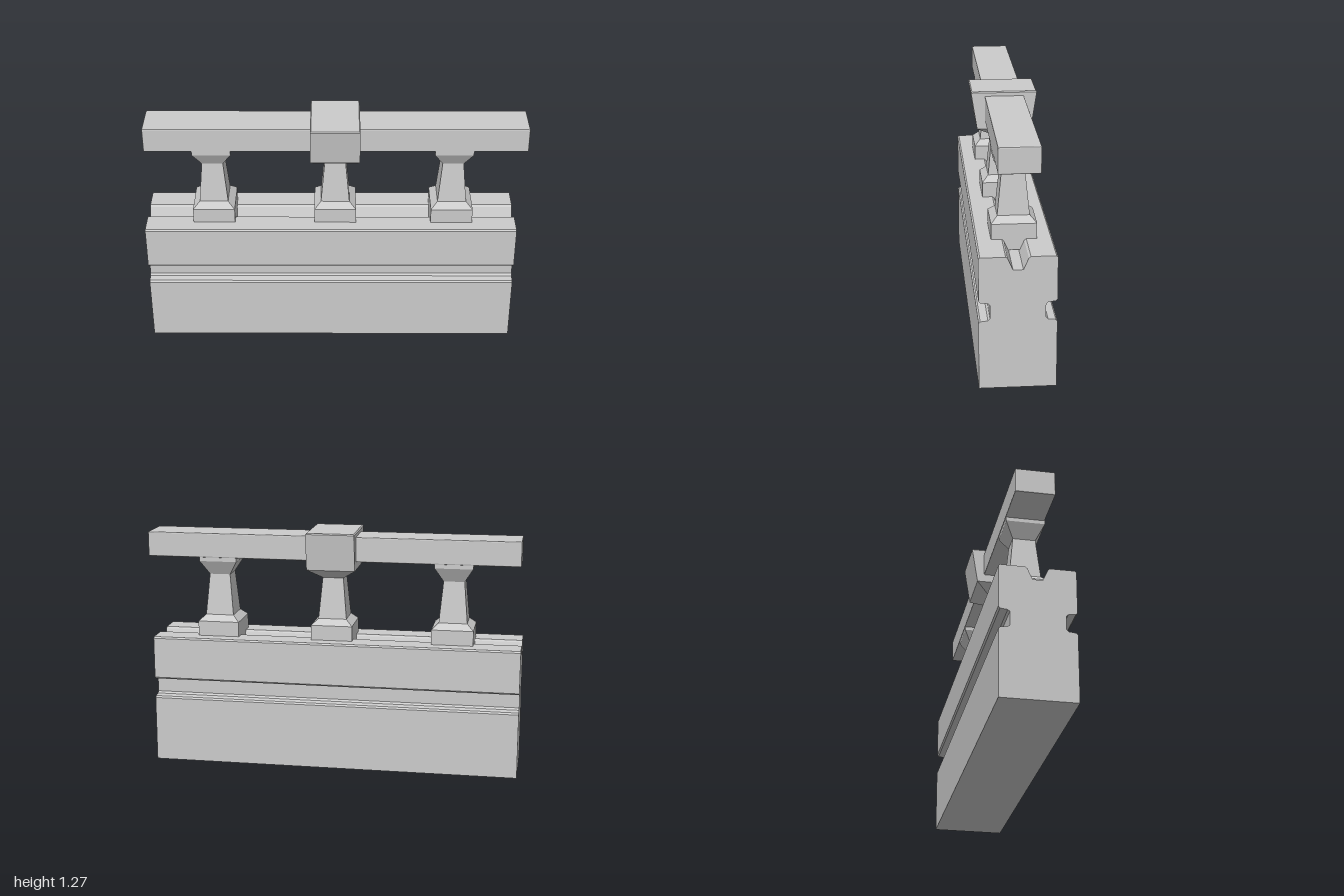
import * as THREE from 'three';
import { RoundedBoxGeometry } from 'three/addons/geometries/RoundedBoxGeometry.js';

const material = new THREE.MeshStandardMaterial({ color: 0xcccccc, flatShading: true });

function addMesh(parent, geometry, name, x = 0, y = 0, z = 0) {
  const mesh = new THREE.Mesh(geometry, material);
  mesh.name = name;
  mesh.position.set(x, y, z);
  parent.add(mesh);
  return mesh;
}

// Closed square-sided solid through rectangular sections [y, halfX, halfZ], bottom to top
function loftRects(sections) {
  const positions = [];
  const index = [];
  for (const [y, hx, hz] of sections) {
    positions.push(hx, y, hz, hx, y, -hz, -hx, y, -hz, -hx, y, hz);
  }
  for (let s = 0; s < sections.length - 1; s++) {
    for (let i = 0; i < 4; i++) {
      const a = s * 4 + i;
      const b = s * 4 + ((i + 1) % 4);
      index.push(a, b, b + 4, a, b + 4, a + 4);
    }
  }
  const t = (sections.length - 1) * 4;
  index.push(0, 2, 1, 0, 3, 2, t, t + 1, t + 2, t, t + 2, t + 3);
  const geometry = new THREE.BufferGeometry();
  geometry.setAttribute('position', new THREE.Float32BufferAttribute(positions, 3));
  geometry.setIndex(index);
  const flat = geometry.toNonIndexed();
  flat.computeVertexNormals();
  return flat;
}

// Base wall: one half of the end profile, mirrored, then swept along x
function wallGeometry() {
  const half = [
    [0.19, 0], [0.19, 0.347], [0.182, 0.356], [0.145, 0.36], [0.135, 0.37],
    [0.135, 0.44], [0.145, 0.449], [0.182, 0.453], [0.19, 0.462],
    [0.19, 0.678], [0.182, 0.686], [0.06, 0.686], [0.05, 0.678], [0.025, 0.62],
  ];
  const mirrored = half.map(([z, y]) => [-z, y]).reverse();
  const shape = new THREE.Shape([...half, ...mirrored].map(([z, y]) => new THREE.Vector2(z, y)));
  const geometry = new THREE.ExtrudeGeometry(shape, { depth: 1.955, bevelEnabled: false });
  geometry.rotateY(Math.PI / 2);
  geometry.translate(-1, 0, 0);
  return geometry;
}

export function createModel() {
  const model = new THREE.Group();
  model.name = 'balustrade';

  addMesh(model, wallGeometry(), 'baseWall');

  // Posts: plinth, tapering shaft and neck; the lower end sits in the top channel
  const shaft = [
    [0.63, 0.11, 0.113], [0.765, 0.11, 0.113], [0.797, 0.075, 0.08], [1.015, 0.055, 0.058],
  ];
  const sidePost = loftRects([...shaft, [1.09, 0.1, 0.1], [1.115, 0.1, 0.1]]);
  addMesh(model, sidePost, 'leftPost', 0.615);
  addMesh(model, sidePost, 'rightPost', -0.64);

  // Middle post widens into a block that wraps the rail
  const middlePost = loftRects([
    ...shaft, [1.067, 0.128, 0.14], [1.26, 0.128, 0.17], [1.266, 0.123, 0.165],
  ]);
  addMesh(model, middlePost, 'middlePost');

  // Handrail with slightly softened edges
  addMesh(model, new RoundedBoxGeometry(1.982, 0.132, 0.203, 1, 0.006), 'handrail', 0.004, 1.176, -0.002);

  return model;
}
